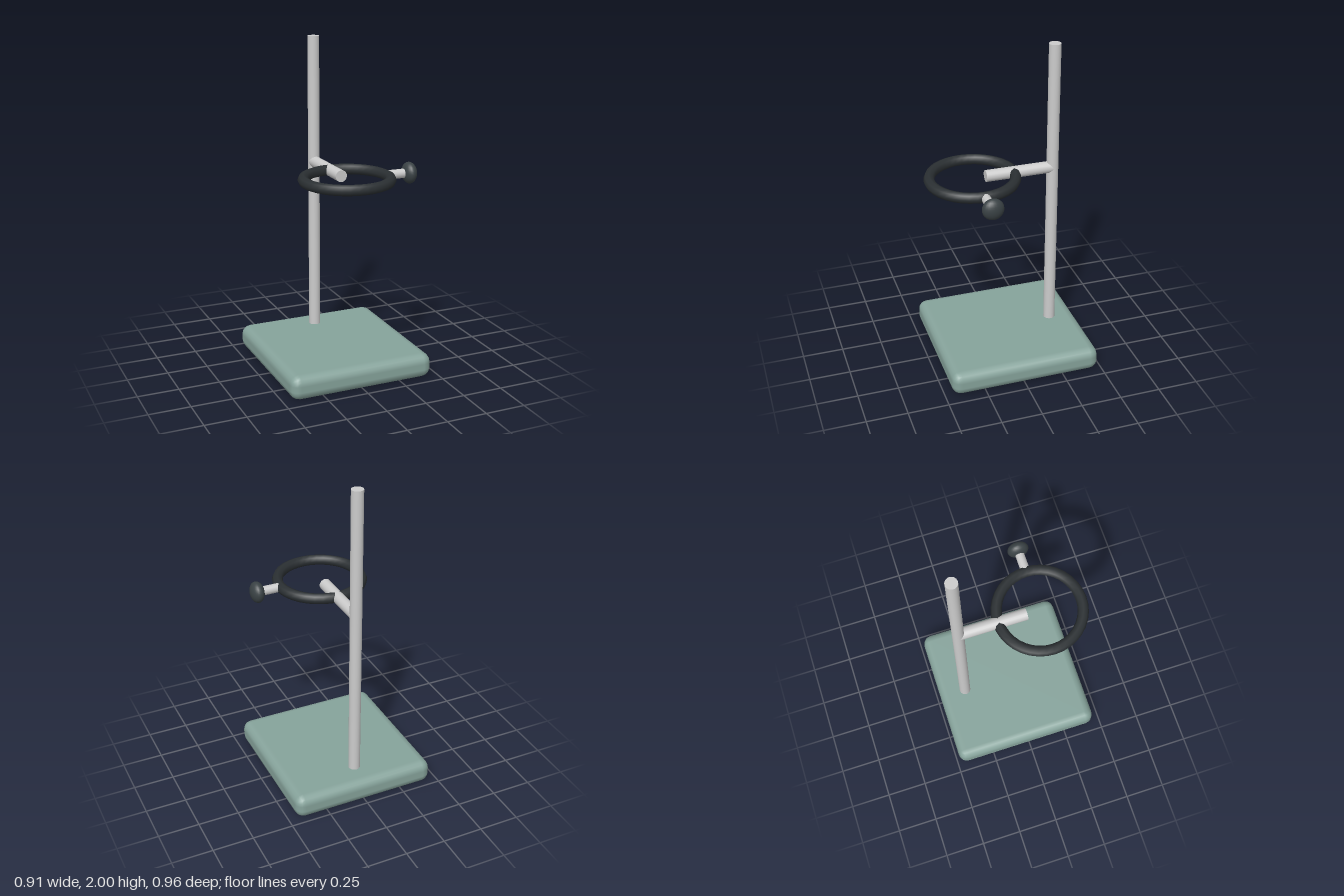
import * as THREE from 'three';
import { RoundedBoxGeometry } from 'three/addons/geometries/RoundedBoxGeometry.js';

const steel = new THREE.MeshStandardMaterial({ color: 0xcccccc });
const enamel = new THREE.MeshStandardMaterial({ color: 0x86a39b });
const iron = new THREE.MeshStandardMaterial({ color: 0x2b3033 });
const grip = new THREE.MeshStandardMaterial({ color: 0x3a4245 });

export function createModel() {
  const group = new THREE.Group();
  const add = (name, geometry, material, x, y, z) => {
    const mesh = new THREE.Mesh(geometry, material);
    mesh.name = name;
    mesh.position.set(x, y, z);
    group.add(mesh);
    return mesh;
  };
  const ringY = 1.223, ringZ = 0.19;

  // Heavy base plate with rounded edges
  add('base', new RoundedBoxGeometry(0.908, 0.15, 0.935, 2, 0.057), enamel, 0, 0.075, -0.0125);

  // Upright rod near the back of the base
  add('uprightRod', new THREE.CylinderGeometry(0.036, 0.036, 1.9, 24), steel, 0, 1.05, -0.31);

  // Arm reaching forward from the rod into the ring
  const arm = new THREE.CylinderGeometry(0.036, 0.036, 0.42, 20).rotateX(Math.PI / 2);
  add('supportArm', arm, steel, 0, ringY, -0.1);

  // Horizontal support ring
  const ring = new THREE.TorusGeometry(0.255, 0.033, 8, 36).rotateX(Math.PI / 2);
  add('supportRing', ring, iron, 0, ringY, ringZ);

  // Thumbscrew on the ring's left side
  const shaft = new THREE.CylinderGeometry(0.028, 0.028, 0.14, 16).rotateZ(Math.PI / 2);
  add('screwShaft', shaft, steel, 0.335, ringY, ringZ);
  const knob = add('screwKnob', new THREE.SphereGeometry(0.065, 20, 14), grip, 0.406, ringY, ringZ);
  knob.scale.x = 0.65;

  return group;
}
